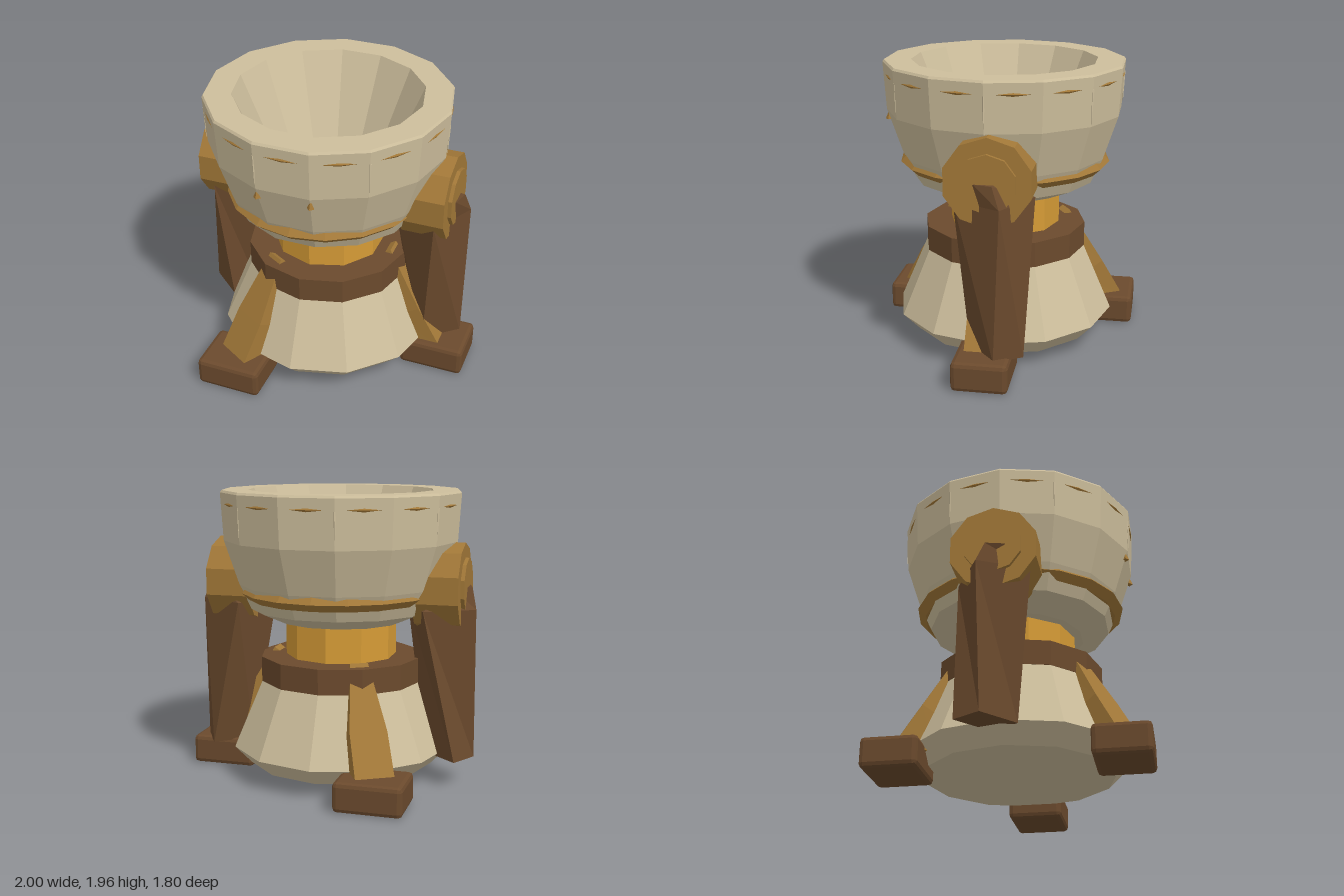
import * as THREE from 'three';
import { RoundedBoxGeometry } from 'three/addons/geometries/RoundedBoxGeometry.js';

const mat = (name, color) => {
  const m = new THREE.MeshStandardMaterial({ color, flatShading: true });
  m.name = name;
  return m;
};

// Closed solid through four-cornered rings, bottom to top, corners anticlockwise from above
function loft(rings) {
  const pos = [], idx = [];
  rings.forEach(r => r.forEach(p => pos.push(...p)));
  for (let i = 0; i < rings.length - 1; i++) {
    for (let j = 0; j < 4; j++) {
      const a = i * 4 + j, b = i * 4 + (j + 1) % 4;
      idx.push(a, b, a + 4, b, b + 4, a + 4);
    }
  }
  const t = (rings.length - 1) * 4;
  idx.push(0, 2, 1, 0, 3, 2, t, t + 1, t + 2, t, t + 2, t + 3);
  const g = new THREE.BufferGeometry();
  g.setAttribute('position', new THREE.Float32BufferAttribute(pos, 3));
  g.setIndex(idx);
  const flat = g.toNonIndexed();
  flat.computeVertexNormals();
  return flat;
}

const lathe = (pts, sides, start = 0) =>
  new THREE.LatheGeometry(pts.map(p => new THREE.Vector2(...p)), sides, start);

export function createModel() {
  const stone = mat('stone', 0xcdbe9c);
  const wood = mat('dark wood', 0x6b4a2d);
  const bronze = mat('bronze', 0xa27838);
  const gold = mat('gold', 0xd59b36);

  const model = new THREE.Group();
  const body = new THREE.Group();
  body.name = 'body';
  body.position.x = -0.05;
  model.add(body);

  const add = (parent, name, geo, material, x = 0, y = 0, z = 0) => {
    const m = new THREE.Mesh(geo, material);
    m.name = name;
    m.position.set(x, y, z);
    parent.add(m);
    return m;
  };

  // Flared base, its collar and the central column
  add(body, 'base', lathe([[0, 0.09], [0.64, 0.09], [0.755, 0.21], [0.555, 0.67], [0, 0.67]], 12), stone);
  add(body, 'collar', new THREE.CylinderGeometry(0.56, 0.56, 0.17, 12), wood, 0, 0.75);
  add(body, 'column', new THREE.CylinderGeometry(0.38, 0.38, 0.3, 10), gold, 0, 0.96);

  // Hollow bowl with rim, floor and belt
  add(body, 'bowl', lathe([[0, 1.08], [0.44, 1.08], [0.62, 1.16], [0.7, 1.33], [0.8, 1.63],
    [0.82, 1.95], [0.81, 1.965], [0.63, 1.965], [0.305, 1.2], [0, 1.2]], 14, Math.PI / 2), stone);
  add(body, 'bowlFloor', new THREE.CylinderGeometry(0.305, 0.305, 0.008, 14, 1, false, Math.PI / 2), gold, 0, 1.204);
  const belt = add(body, 'belt', lathe([[0.55, 1.23], [0.665, 1.23], [0.72, 1.28], [0.68, 1.325],
    [0.55, 1.325], [0.55, 1.23]], 18), bronze);
  belt.scale.x = 0.95;

  // Rim inlays on each facet, ribs on every second corner
  for (let i = 0; i < 14; i++) {
    const a = (i / 14) * Math.PI * 2;
    const inlay = add(body, 'rimInlay', new THREE.OctahedronGeometry(1), bronze,
      Math.sin(a) * 0.794, 1.877, Math.cos(a) * 0.794);
    inlay.scale.set(0.125, 0.013, 0.009);
    inlay.rotation.y = a;
    if (i % 2) continue;
    const b = Math.PI / 2 + a;
    const rib = add(body, 'rib', new THREE.ConeGeometry(0.011, 0.22, 4), stone,
      Math.sin(b) * 0.808, 1.76, Math.cos(b) * 0.808);
    rib.rotation.x = Math.PI;
  }

  // Two small studs at the front
  for (const s of [-1, 1]) {
    add(body, 'stud', new THREE.ConeGeometry(0.025, 0.06, 4), bronze, s * 0.177, 1.59, 0.765);
  }

  // Three feet with leaning struts
  for (let i = 0; i < 3; i++) {
    const a = (i * Math.PI * 2) / 3;
    add(body, 'foot', new RoundedBoxGeometry(0.45, 0.2, 0.37, 1, 0.03), wood,
      Math.cos(a) * 0.825, 0.103, Math.sin(a) * 0.825);
    const ring = (rOut, yOut, rIn, yIn, w) =>
      [[rOut, yOut, w], [rOut, yOut, -w], [rIn, yIn, -w], [rIn, yIn, w]];
    const strut = add(body, 'strut', loft([
      ring(0.88, 0.17, 0.62, 0.15, 0.13),
      ring(0.71, 0.46, 0.52, 0.36, 0.125),
      ring(0.47, 0.86, 0.32, 0.76, 0.06),
    ]), bronze);
    strut.rotation.y = -a;
  }

  // Side arms, twisted and tapered, with round pivots
  for (const s of [-1, 1]) {
    const side = new THREE.Group();
    side.name = s > 0 ? 'leftArm' : 'rightArm';
    side.position.x = -0.043;
    model.add(side);
    const level = (y, corners) => {
      const r = corners.map(([x, z]) => [s * (x + 0.043), y, z]);
      return s > 0 ? r : r.reverse();
    };
    add(side, 'arm', loft([
      level(0.19, [[0.69, 0.11], [0.915, -0.08], [0.81, -0.26], [0.585, -0.07]]),
      level(1.2, [[0.75, 0.2], [0.915, -0.12], [0.595, -0.3], [0.43, 0.02]]),
      level(1.34, [[0.85, 0.05], [0.88, -0.07], [0.74, -0.1], [0.71, 0.02]]),
    ]), wood);
    const pivot = (name, r, x0, x1) => {
      const g = new THREE.CylinderGeometry(r, r, x1 - x0, 10);
      g.rotateX(Math.PI / 10 * 5).rotateY(Math.PI / 2);
      add(side, name, g, bronze, s * (x0 + x1) / 2, 1.34, -0.03);
    };
    pivot('pivot', 0.29, 0.56, 0.865);
    pivot('pivotCap', 0.19, 0.8, 0.89);
  }

  return model;
}
